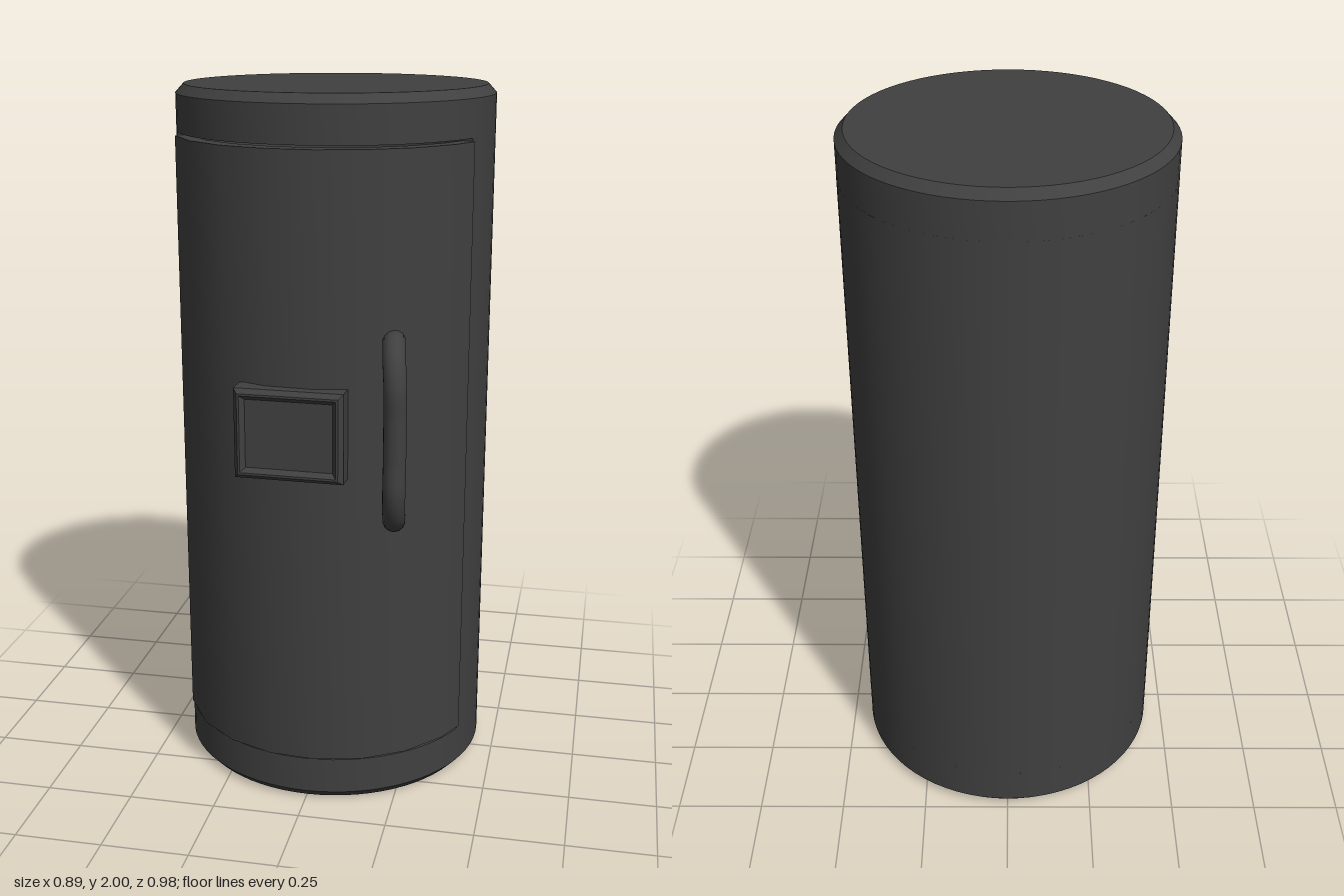
import * as THREE from 'three';
import { toCreasedNormals } from 'three/addons/utils/BufferGeometryUtils.js';

const CZ = -0.042, R = 0.447, INNER = 0.415, DEG = Math.PI / 180;
const EDGE = 65.3; // half angle of the doorway, measured from the front

export function createModel() {
  const model = new THREE.Group();
  const charcoal = new THREE.MeshStandardMaterial({ color: 0x404040 });

  function add(name, geometry, parent = model) {
    const mesh = new THREE.Mesh(geometry, charcoal);
    mesh.name = name;
    parent.add(mesh);
    return mesh;
  }

  // point on the plan, by angle from the front and radius
  const polar = (deg, r) => new THREE.Vector2(r * Math.sin(deg * DEG), -r * Math.cos(deg * DEG));

  // curved wall: a plan outline raised from y0 to y1
  function wall(name, angles, outer, inner, y0, y1) {
    const outline = angles.map(a => polar(a, outer(a)));
    outline.push(...angles.slice().reverse().map(a => polar(a, inner)));
    const g = new THREE.ExtrudeGeometry(new THREE.Shape(outline), { depth: y1 - y0, bevelEnabled: false });
    g.rotateX(-Math.PI / 2);
    g.translate(0, y0, CZ);
    return add(name, toCreasedNormals(g, 0.5));
  }

  // solid chamfered ends of the drum
  function drumEnd(name, points) {
    const g = new THREE.LatheGeometry(points.map(p => new THREE.Vector2(...p)), 72);
    g.translate(0, 0, CZ);
    add(name, toCreasedNormals(g, 0.5));
  }
  drumEnd('drumBase', [[0, 0], [0.424, 0], [R, 0.025], [R, 0.13], [0, 0.13]]);
  drumEnd('drumTop', [[0, 1.872], [R, 1.872], [R, 1.975], [0.424, 2], [0, 2]]);

  // drum wall with a doorway at the front
  const wallAngles = [];
  for (let i = 0; i <= 60; i++) wallAngles.push(EDGE + (360 - 2 * EDGE) * i / 60);
  wall('drumWall', wallAngles, () => R, INNER, 0.13, 1.872);

  // faceted curved door, standing slightly proud
  const doorAngles = [-65.1, -46, -29, -12.5, 4, 20.5, 37, 54, 65.1];
  wall('door', doorAngles, a => 0.468 - 0.013 * (a / 65) ** 2, INNER, 0.142, 1.864);

  // framed panel on the door
  const panel = new THREE.Group();
  panel.name = 'framedPanel';
  panel.position.set(-0.03, 1.115, 0.467);
  panel.rotation.y = -0.03;
  model.add(panel);

  const rect = (shape, w, h) => {
    shape.moveTo(-w, -h);
    shape.lineTo(w, -h);
    shape.lineTo(w, h);
    shape.lineTo(-w, h);
    shape.closePath();
    return shape;
  };
  const frameShape = rect(new THREE.Shape(), 0.138, 0.113);
  frameShape.holes.push(rect(new THREE.Path(), 0.132, 0.107));
  const frame = new THREE.ExtrudeGeometry(frameShape, {
    depth: 0.06, bevelEnabled: true, bevelThickness: 0.014, bevelSize: 0.012, bevelSegments: 1,
  });
  frame.translate(0, 0, -0.074);
  add('panelFrame', frame, panel);
  add('panelFace', new THREE.BoxGeometry(0.27, 0.22, 0.06), panel).position.z = -0.044;

  // bent tube handle with rounded ends
  const grip = [
    [0.232, 1.362, 0.335], [0.24, 1.36, 0.385], [0.248, 1.335, 0.43], [0.256, 1.27, 0.458],
    [0.257, 1.18, 0.459], [0.257, 1.06, 0.459], [0.256, 0.97, 0.458],
    [0.252, 0.905, 0.43], [0.246, 0.872, 0.385], [0.24, 0.862, 0.335],
  ].map(p => new THREE.Vector3(...p));
  const handle = new THREE.Group();
  handle.name = 'handle';
  model.add(handle);
  const curve = new THREE.CatmullRomCurve3(grip, false, 'centripetal');
  add('handleBar', new THREE.TubeGeometry(curve, 48, 0.031, 14), handle);
  for (const end of [grip[0], grip[grip.length - 1]]) {
    add('handleEnd', new THREE.SphereGeometry(0.031, 14, 10), handle).position.copy(end);
  }

  return model;
}
